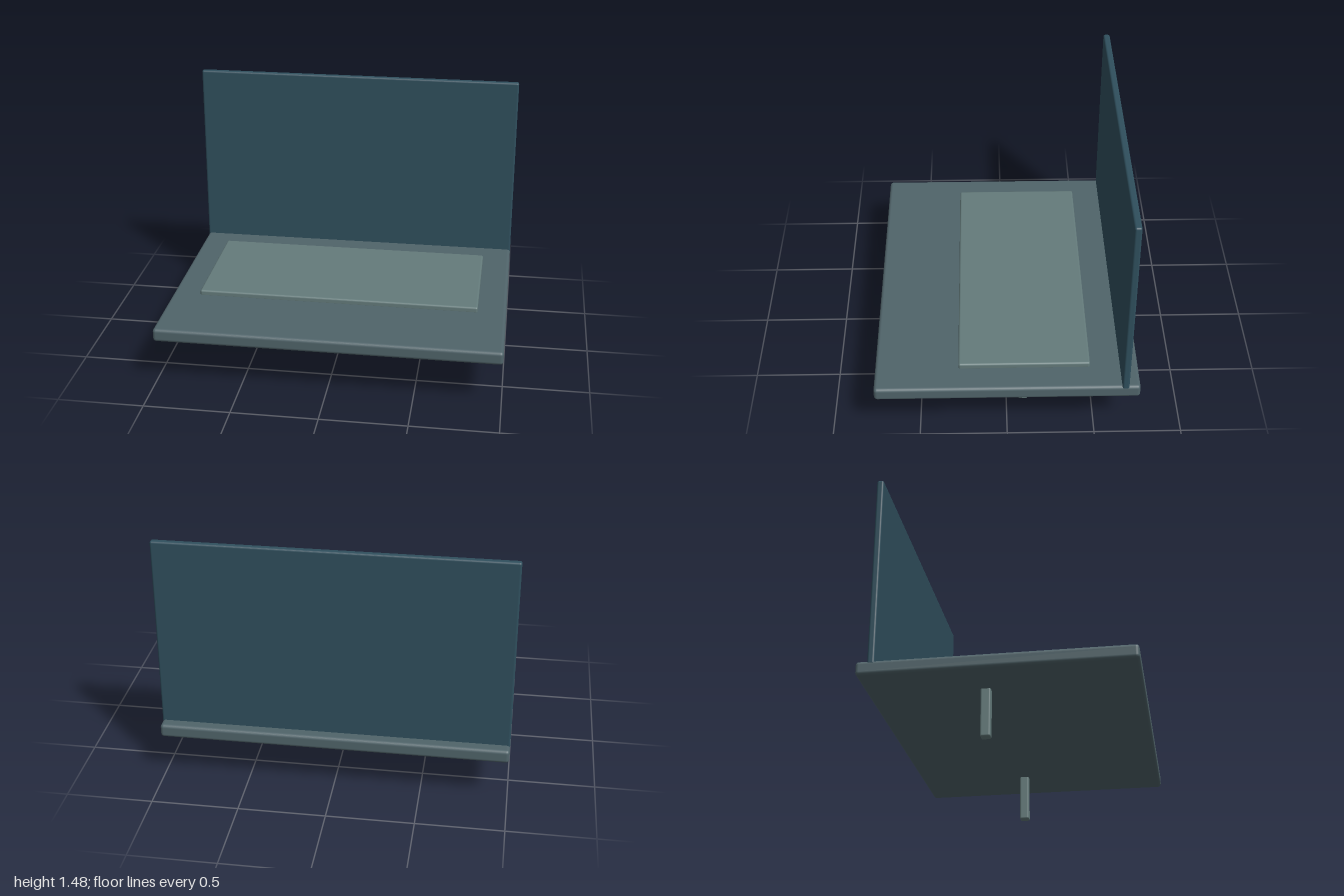
import * as THREE from 'three';
import { RoundedBoxGeometry } from 'three/addons/geometries/RoundedBoxGeometry.js';

const slate = new THREE.MeshStandardMaterial({ color: 0x50646a });
const navy = new THREE.MeshStandardMaterial({ color: 0x2f4f5d });
const sage = new THREE.MeshStandardMaterial({ color: 0x647b7b });

// Soft-edged box given by its min and max corners
function slab(name, min, max, radius, material) {
  const size = max.map((v, i) => v - min[i]);
  const mesh = new THREE.Mesh(new RoundedBoxGeometry(...size, 3, radius), material);
  mesh.position.set(...max.map((v, i) => (v + min[i]) / 2));
  mesh.name = name;
  return mesh;
}

export function createModel() {
  const model = new THREE.Group();
  model.name = 'panelPlatform';

  // Wide deck with a thin raised pad
  model.add(slab('deck', [-1, 0.275, -0.75], [1, 0.355, 0.75], 0.02, slate));
  model.add(slab('raisedPad', [-0.833, 0.345, -0.475], [0.833, 0.385, 0.275], 0.012, sage));

  // Upright panel near the rear edge
  model.add(slab('backPanel', [-1, 0.335, -0.686], [1, 1.477, -0.646], 0.012, navy));

  // Pair of legs
  for (const [name, x] of [['leftLeg', 0.7], ['rightLeg', -0.7]]) {
    model.add(slab(name, [x - 0.028, 0, -0.126], [x + 0.028, 0.29, -0.07], 0.01, sage));
  }
  return model;
}
